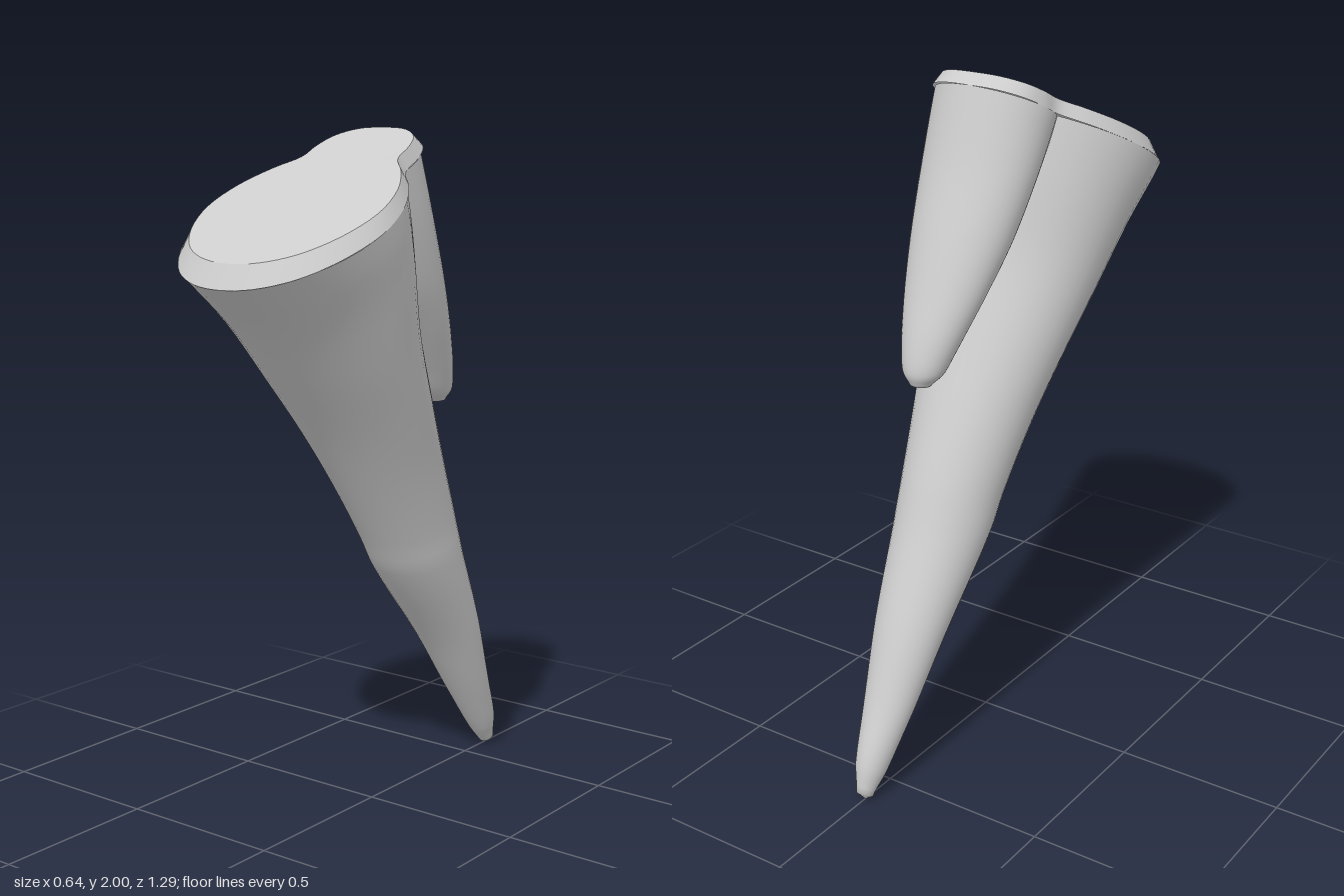
import * as THREE from 'three';
import { toCreasedNormals } from 'three/addons/utils/BufferGeometryUtils.js';

const SEG = 40;

// Skin a stack of closed rings (top to bottom), with optional centre points closing each end
function skin(rings, top, bottom) {
  const n = rings[0].length;
  const pts = rings.flat();
  const index = [];
  for (let i = 0; i < rings.length - 1; i++) {
    for (let j = 0; j < n; j++) {
      const k = (j + 1) % n;
      const a = i * n + j, b = i * n + k, c = a + n, d = b + n;
      index.push(a, c, b, b, c, d);
    }
  }
  const last = (rings.length - 1) * n;
  if (top) {
    pts.push(top);
    for (let j = 0; j < n; j++) index.push(pts.length - 1, j, (j + 1) % n);
  }
  if (bottom) {
    pts.push(bottom);
    for (let j = 0; j < n; j++) index.push(pts.length - 1, last + (j + 1) % n, last + j);
  }
  const g = new THREE.BufferGeometry().setFromPoints(pts);
  g.setIndex(index);
  g.computeVertexNormals();
  return g;
}

// Tapering root from sections [frontZ, frontY, backZ, backY, halfWidth]
function rootGeometry(sections, tip, steps) {
  const front = new THREE.CatmullRomCurve3(sections.map(s => new THREE.Vector3(0, s[1], s[0])));
  const back = new THREE.CatmullRomCurve3(sections.map(s => new THREE.Vector3(0, s[3], s[2])));
  const width = new THREE.SplineCurve(sections.map((s, i) => new THREE.Vector2(i, s[4])));
  const rings = [];
  for (let i = 0; i <= steps; i++) {
    const t = i / steps;
    const f = front.getPoint(t), b = back.getPoint(t), w = width.getPoint(t).y;
    const c = f.clone().add(b).multiplyScalar(0.5);
    const ring = [];
    for (let j = 0; j < SEG; j++) {
      const a = (j / SEG) * Math.PI * 2;
      const p = c.clone().addScaledVector(f.clone().sub(c), Math.cos(a));
      p.x = Math.sin(a) * w;
      ring.push(p);
    }
    rings.push(ring);
  }
  return skin(rings, null, new THREE.Vector3(0, tip[1], tip[0]));
}

// Height of the sloping rim plane
const rimY = z => 1.59 + (0.645 - z) * 0.517;

// Two-lobed cut face with a bevelled rim
function crownGeometry() {
  const half = [[0, 0.645], [0.1, 0.632], [0.2, 0.583], [0.28, 0.49], [0.32, 0.37], [0.3, 0.25],
    [0.24, 0.15], [0.182, 0.085], [0.175, 0.02], [0.15, -0.04], [0.09, -0.08], [0, -0.09]];
  const mirrored = half.slice(1, -1).reverse().map(([x, z]) => [-x, z]);
  const curve = new THREE.CatmullRomCurve3(
    [...half, ...mirrored].map(([x, z]) => new THREE.Vector3(x, rimY(z), z)), true);
  const outer = curve.getPoints(88).slice(0, -1);
  const inner = outer.map(p => {
    const z = 0.28 + (p.z - 0.28) * 0.9;
    return new THREE.Vector3(p.x * 0.93, rimY(z) + 0.047, z);
  });
  const centre = new THREE.Vector3(0, rimY(0.26) + 0.04, 0.26);
  return toCreasedNormals(skin([inner, outer], centre, null), 0.4);
}

export function createModel() {
  const group = new THREE.Group();
  const material = new THREE.MeshStandardMaterial({ color: 0xcccccc, side: THREE.DoubleSide });
  const add = (name, geometry) => {
    const mesh = new THREE.Mesh(geometry, material);
    mesh.name = name;
    group.add(mesh);
  };

  // Long main root, leaning backwards to its tip
  add('mainRoot', rootGeometry([
    [0.645, 1.59, 0.06, rimY(0.06), 0.32],
    [0.48, 1.45, 0.02, 1.72, 0.29],
    [0.33, 1.28, -0.03, 1.5, 0.25],
    [0.2, 1.12, -0.13, 1.27, 0.21],
    [0.08, 0.95, -0.22, 1.08, 0.175],
    [-0.03, 0.78, -0.31, 0.88, 0.15],
    [-0.09, 0.68, -0.365, 0.74, 0.14],
    [-0.3, 0.42, -0.475, 0.5, 0.107],
    [-0.43, 0.23, -0.565, 0.27, 0.075],
    [-0.55, 0.06, -0.63, 0.12, 0.045],
    [-0.6, 0.005, -0.645, 0.03, 0.024],
  ], [-0.62, 0], 40));

  // Short root behind it
  add('shortRoot', rootGeometry([
    [0.19, rimY(0.19), -0.09, rimY(-0.09), 0.18],
    [0.1, 1.7, -0.16, 1.76, 0.172],
    [0.0, 1.54, -0.235, 1.58, 0.15],
    [-0.1, 1.41, -0.295, 1.43, 0.12],
    [-0.19, 1.29, -0.345, 1.3, 0.085],
    [-0.25, 1.21, -0.362, 1.22, 0.058],
    [-0.29, 1.18, -0.35, 1.185, 0.03],
  ], [-0.32, 1.175], 28));

  add('crownFace', crownGeometry());
  return group;
}
